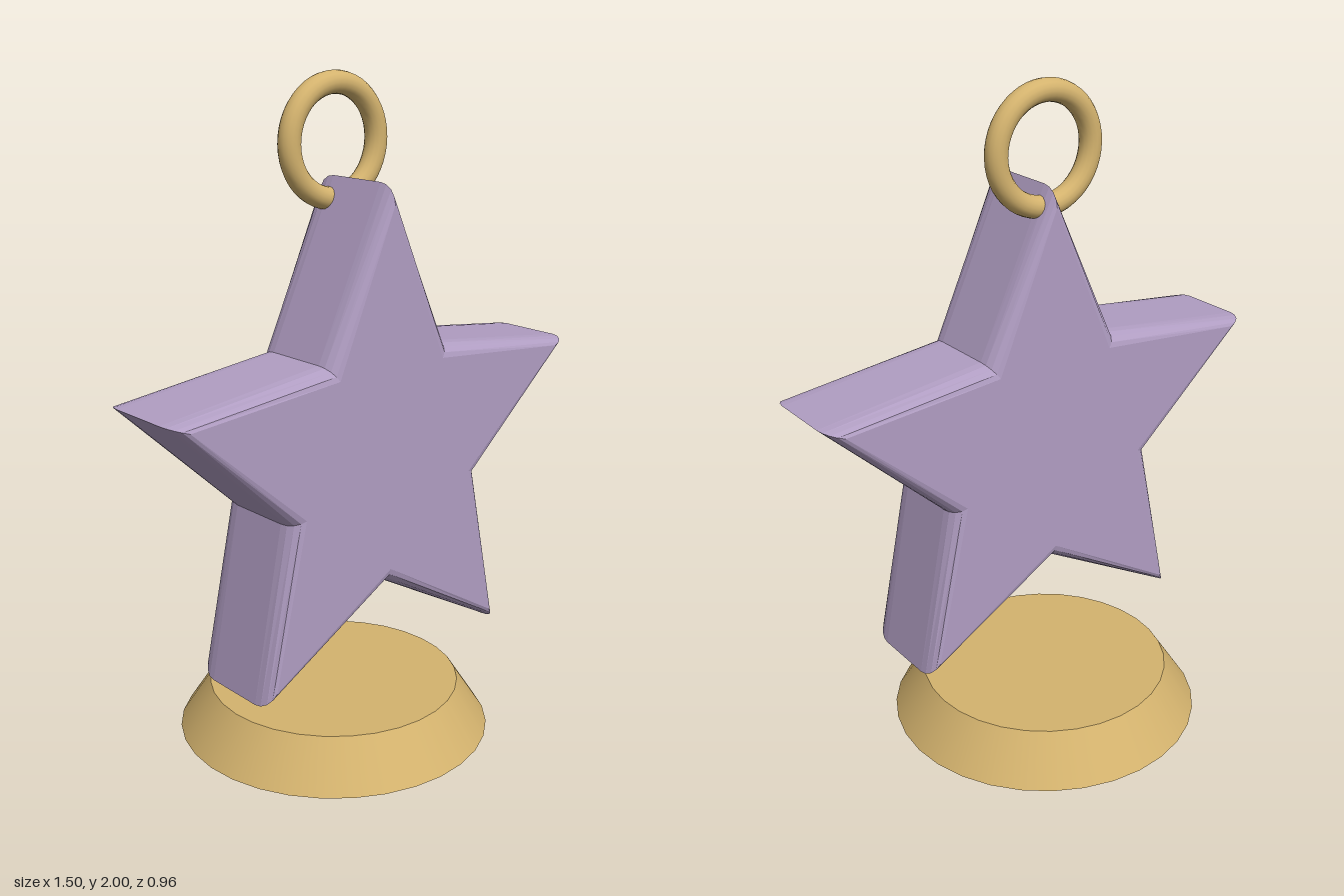
import * as THREE from 'three';

export function createModel() {
  const group = new THREE.Group();
  const gold = new THREE.MeshStandardMaterial({ color: 0xd4b36e });
  const purple = new THREE.MeshStandardMaterial({ color: 0xb09dc2 });

  const add = (name, geometry, material, y) => {
    const mesh = new THREE.Mesh(geometry, material);
    mesh.name = name;
    mesh.position.y = y;
    group.add(mesh);
  };

  // Tapered round base
  add('base', new THREE.CylinderGeometry(0.387, 0.482, 0.145, 32), gold, 0.0725);

  // Five-pointed star, alternating outer and inner radii, with a rounded bevel
  const points = [];
  for (let i = 0; i < 10; i++) {
    const radius = i % 2 === 0 ? 0.732 : 0.335;
    const angle = Math.PI / 2 + (i * Math.PI) / 5;
    points.push(new THREE.Vector2(radius * Math.cos(angle), radius * Math.sin(angle)));
  }
  const starGeometry = new THREE.ExtrudeGeometry(new THREE.Shape(points), {
    depth: 0.196,
    bevelEnabled: true,
    bevelThickness: 0.06,
    bevelSize: 0.04,
    bevelSegments: 4,
  });
  add('star', starGeometry, purple, 0.921);

  // Hanging ring through the back of the top point
  add('ring', new THREE.TorusGeometry(0.161, 0.033, 16, 48), gold, 1.806);

  return group;
}
